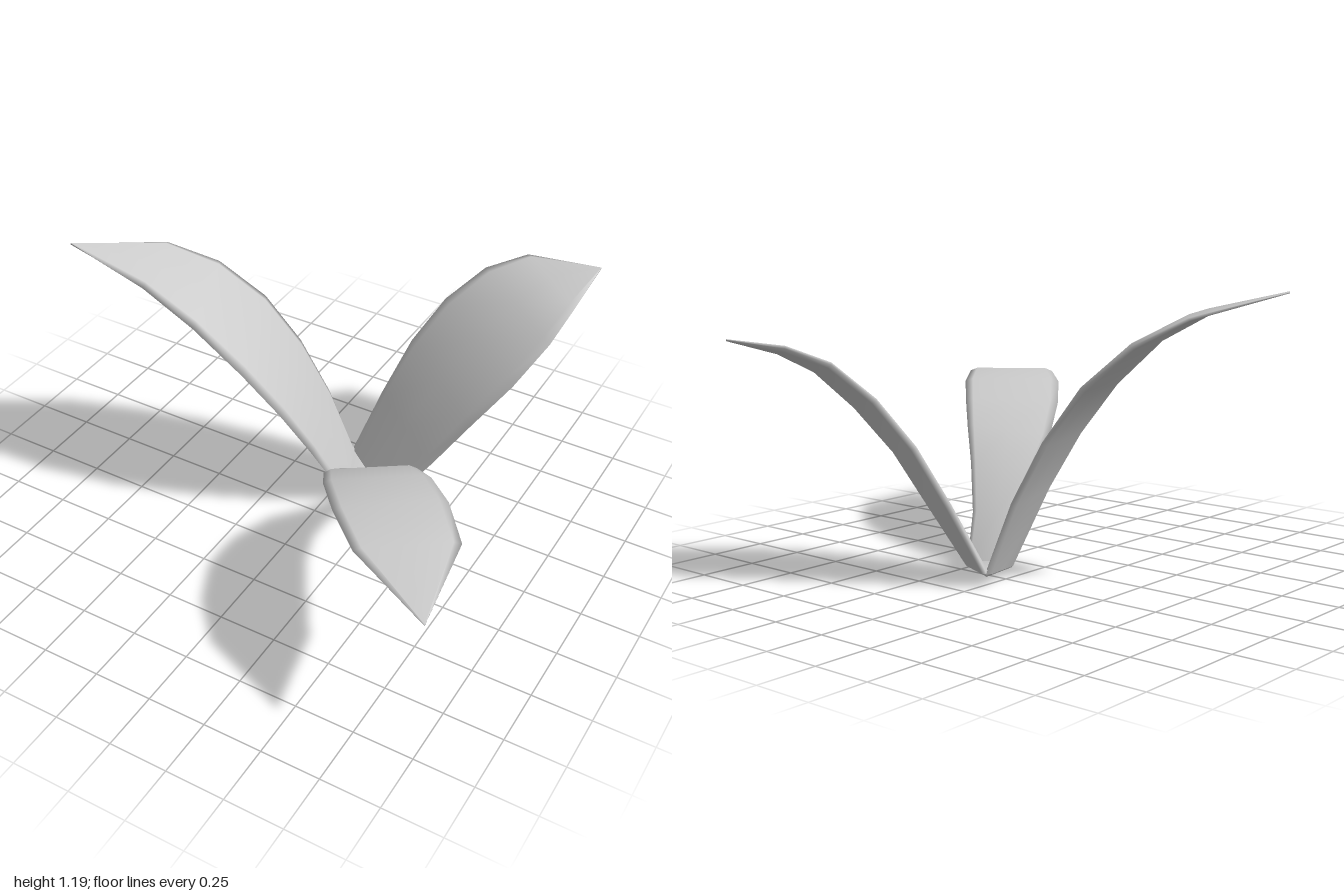
import * as THREE from 'three';

const HALF = 0.013; // half of the blade thickness
const material = new THREE.MeshStandardMaterial({ color: 0xcccccc });

// Corners of the small triangular heart the three leaves grow from
const BACK = [-0.03, 0.06, -0.4];
const FRONT = [0.07, 0.03, -0.13];
const SIDE = [0.26, 0.015, -0.2];

// Left and right margins of each leaf, seen from its root looking outwards
const LEAVES = [
  {
    name: 'tallLeaf',
    tip: [-1, 1.19, 0.25],
    left: [FRONT, [0, 0.35, 0.03], [-0.09, 0.58, 0.13], [-0.22, 0.79, 0.21], [-0.41, 0.98, 0.26], [-0.64, 1.1, 0.265]],
    right: [BACK, [-0.15, 0.35, -0.39], [-0.28, 0.6, -0.36], [-0.42, 0.82, -0.3], [-0.59, 0.99, -0.21], [-0.76, 1.1, -0.08]],
  },
  {
    name: 'backLeaf',
    tip: [0.83, 0.985, -0.98],
    left: [BACK, [0.05, 0.34, -0.52], [0.13, 0.58, -0.63], [0.23, 0.77, -0.74], [0.36, 0.91, -0.85], [0.51, 0.97, -0.95]],
    right: [SIDE, [0.43, 0.26, -0.26], [0.57, 0.48, -0.32], [0.7, 0.67, -0.42], [0.79, 0.83, -0.56], [0.82, 0.92, -0.73]],
  },
  {
    name: 'frontLeaf',
    tip: [1, 0.67, 0.97],
    left: [SIDE, [0.3, 0.22, -0.12], [0.41, 0.4, -0.01], [0.53, 0.54, 0.1], [0.65, 0.63, 0.22], [0.8, 0.69, 0.38], [0.95, 0.71, 0.58]],
    right: [FRONT, [0.13, 0.2, 0], [0.16, 0.38, 0.12], [0.2, 0.5, 0.27], [0.3, 0.62, 0.45], [0.45, 0.69, 0.64], [0.63, 0.71, 0.81]],
  },
];

const vec = (p) => new THREE.Vector3(...p);

function makeMesh(name, positions, index) {
  const geometry = new THREE.BufferGeometry();
  geometry.setAttribute('position', new THREE.Float32BufferAttribute(positions, 3));
  geometry.setIndex(index);
  geometry.computeVertexNormals();
  const mesh = new THREE.Mesh(geometry, material);
  mesh.name = name;
  return mesh;
}

// Lofts a thin blade with bevelled margins between its two edges
function makeLeaf({ name, left, right, tip }) {
  const a = [...left, tip].map(vec);
  const b = [...right, tip].map(vec);
  const mid = a.map((p, i) => p.clone().lerp(b[i], 0.5));
  const last = a.length - 1;
  // [position across the blade, height above its middle surface]
  const section = [[0, 0], [0.08, 1], [0.5, 1], [0.92, 1], [1, 0], [0.92, -1], [0.5, -1], [0.08, -1]];
  const n = section.length;
  const positions = [];
  const index = [];

  for (let i = 0; i <= last; i++) {
    const j = Math.min(i, last - 1);
    const across = b[j].clone().sub(a[j]);
    const along = mid[Math.min(i + 1, last)].clone().sub(mid[Math.max(i - 1, 0)]);
    const normal = across.cross(along).normalize();
    const half = i === last ? HALF * 0.3 : HALF;
    for (const [s, h] of section) {
      positions.push(...a[i].clone().lerp(b[i], s).addScaledVector(normal, h * half));
    }
    if (i === last) continue;
    for (let k = 0; k < n; k++) {
      const p = i * n + k;
      const q = i * n + ((k + 1) % n);
      index.push(p, q, q + n, p, q + n, p + n);
    }
  }
  return makeMesh(name, positions, index);
}

// Thin triangular plate joining the three leaf roots
function makeHeart() {
  const corners = [BACK, FRONT, SIDE];
  const positions = [1, -1].flatMap((s) => corners.flatMap(([x, y, z]) => [x, y + s * HALF, z]));
  const index = [0, 1, 2, 3, 5, 4];
  for (let k = 0; k < 3; k++) {
    const m = (k + 1) % 3;
    index.push(k, k + 3, m + 3, k, m + 3, m);
  }
  return makeMesh('heart', positions, index);
}

export function createModel() {
  const plant = new THREE.Group();
  plant.name = 'leafSprout';
  plant.add(makeHeart(), ...LEAVES.map(makeLeaf));
  return plant;
}
